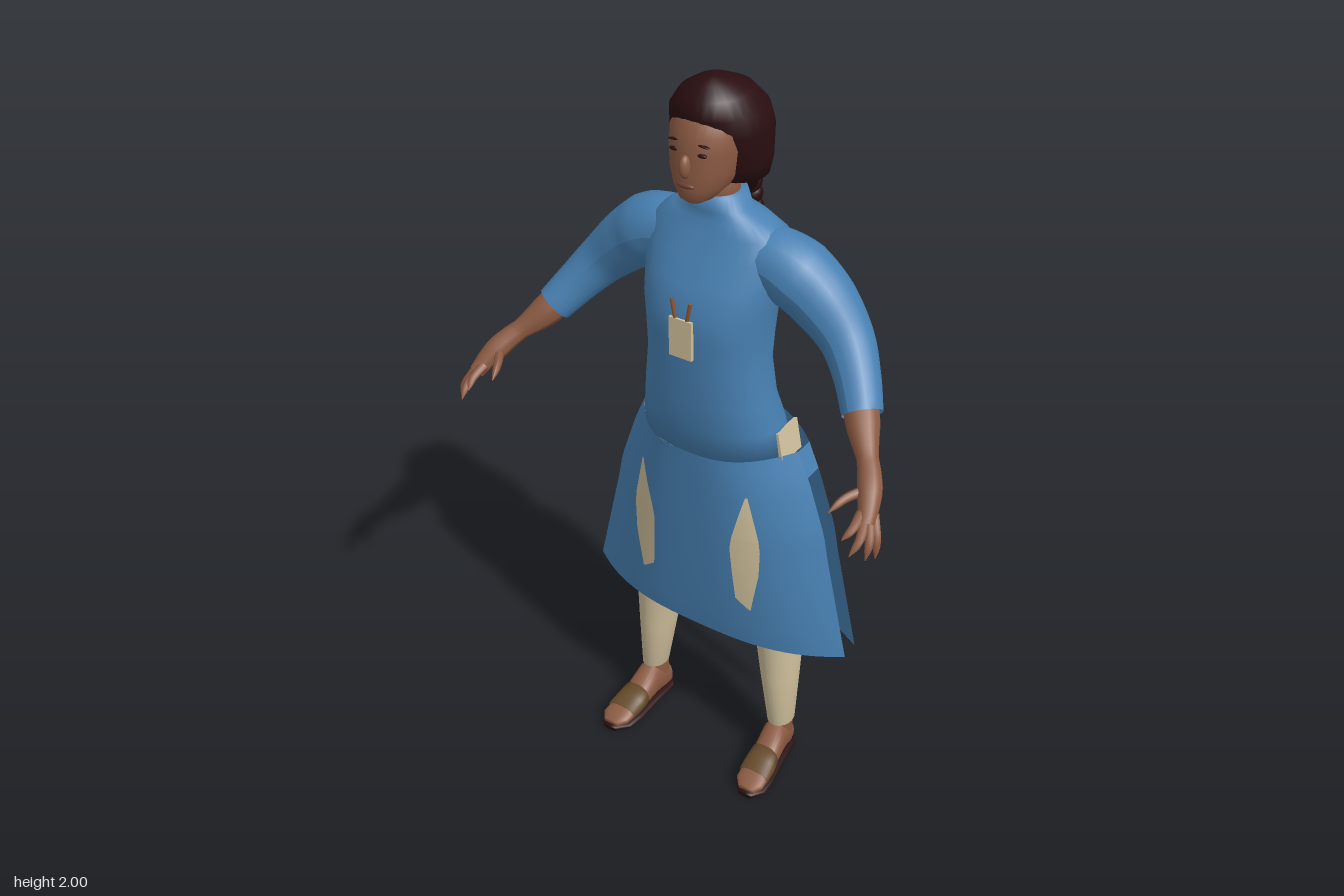
import * as THREE from 'three';

const mat = (name, color, side = THREE.FrontSide) => {
  const m = new THREE.MeshStandardMaterial({ color, side });
  m.name = name;
  return m;
};

// Closed body from horizontal rings [y, halfWidth, zFront, zBack, centreX]
function loft(rings, power = 2, seg = 28) {
  const pos = [], idx = [];
  const bend = (v) => Math.sign(v) * Math.pow(Math.abs(v), 2 / power);
  for (const [y, w, zf, zb, cx = 0] of rings) {
    for (let j = 0; j < seg; j++) {
      const a = (j / seg) * Math.PI * 2;
      pos.push(cx + w * bend(Math.cos(a)), y, (zf + zb) / 2 + ((zf - zb) / 2) * bend(Math.sin(a)));
    }
  }
  const n = rings.length, low = n * seg, high = low + 1;
  for (const [y, , zf, zb, cx = 0] of [rings[0], rings[n - 1]]) pos.push(cx, y, (zf + zb) / 2);
  for (let j = 0; j < seg; j++) {
    const k = (j + 1) % seg;
    for (let i = 0; i < n - 1; i++) {
      const a = i * seg + j, b = i * seg + k;
      idx.push(a, a + seg, b, b, a + seg, b + seg);
    }
    idx.push(low, j, k, high, (n - 1) * seg + k, (n - 1) * seg + j);
  }
  const g = new THREE.BufferGeometry();
  g.setAttribute('position', new THREE.Float32BufferAttribute(pos, 3));
  g.setIndex(idx);
  g.computeVertexNormals();
  return g;
}

// Tube whose radius follows a list of values
function limb(points, radii, steps = 18, seg = 14) {
  const curve = new THREE.CatmullRomCurve3(points.map((p) => new THREE.Vector3(...p)));
  const g = new THREE.TubeGeometry(curve, steps, 1, seg);
  const p = g.attributes.position, n = g.attributes.normal;
  for (let i = 0; i < p.count; i++) {
    const t = Math.floor(i / (seg + 1)) / steps;
    const f = t * (radii.length - 1), k = Math.min(Math.floor(f), radii.length - 2);
    const r = THREE.MathUtils.lerp(radii[k], radii[k + 1], f - k);
    const c = curve.getPointAt(t);
    p.setXYZ(i, c.x + n.getX(i) * r, c.y + n.getY(i) * r, c.z + n.getZ(i) * r);
  }
  g.computeVertexNormals();
  return g;
}

// Sheet of cloth: u runs -1..1, v runs 0..1 upward
function sheet(fn, nu = 28, nv = 20) {
  const g = new THREE.PlaneGeometry(2, 1, nu, nv), p = g.attributes.position;
  for (let i = 0; i < p.count; i++) p.setXYZ(i, ...fn(p.getX(i), p.getY(i) + 0.5));
  g.computeVertexNormals();
  return g;
}

// Skirt outline: half width by height, and depth of the front panel
const flare = [[0.445, 0.4], [0.75, 0.33], [0.82, 0.317], [0.96, 0.27], [1.05, 0.232]];
function skirtWidth(y) {
  let k = 0;
  while (k < flare.length - 2 && y > flare[k + 1][0]) k++;
  const [y0, w0] = flare[k], [y1, w1] = flare[k + 1];
  return w0 + ((w1 - w0) * (y - y0)) / (y1 - y0);
}
function skirtFront(x, y) {
  const zf = 0.015 + 0.048 * Math.pow((y - 0.445) / 0.605, 0.8 );
  return zf - (zf + 0.09) * Math.pow(Math.abs(x) / skirtWidth(y), 2.8);
}

export function createModel() {
  const root = new THREE.Group();
  const blue = mat('blue cloth', 0x4881b3, THREE.DoubleSide);
  const cream = mat('cream cloth', 0xd0c09c, THREE.DoubleSide);
  const skin = mat('skin', 0x8b5a42);
  const dark = mat('dark hair', 0x2a0e10);
  const leather = mat('leather', 0x664a2a);
  const lip = mat('lips', 0x6f4034);
  const wood = mat('wood', 0x8a5530);

  const add = (name, geo, m) => {
    const mesh = new THREE.Mesh(geo, m);
    mesh.name = name;
    root.add(mesh);
    return mesh;
  };
  const blob = (name, m, pos, size) => {
    const b = add(name, new THREE.SphereGeometry(1, 16, 12), m);
    b.position.set(...pos);
    b.scale.set(...size);
    return b;
  };

  // Head and neck
  add('head', loft([
    [1.727, 0.022, 0.045, 0.0], [1.738, 0.042, 0.058, -0.03], [1.765, 0.066, 0.063, -0.08],
    [1.80, 0.081, 0.064, -0.11], [1.85, 0.09, 0.06, -0.13], [1.89, 0.089, 0.055, -0.13],
    [1.93, 0.075, 0.035, -0.12], [1.96, 0.04, 0.0, -0.08],
  ]), skin);
  add('neck', loft([[1.64, 0.058, -0.025, -0.13], [1.72, 0.052, -0.02, -0.125], [1.79, 0.055, 0.0, -0.125]]), skin);
  blob('nose', skin, [0, 1.822, 0.062], [0.013, 0.028, 0.018]);
  blob('mouth', lip, [0, 1.776, 0.06], [0.023, 0.007, 0.008]);
  for (const s of [-1, 1]) {
    blob('eye', dark, [s * 0.036, 1.853, 0.05], [0.014, 0.005, 0.006]);
    blob('eyebrow', dark, [s * 0.037, 1.875, 0.047], [0.018, 0.003, 0.006]).rotation.z = -s * 0.12;
  }

  // Hair and braid
  add('hair', loft([
    [1.68, 0.034, -0.15, -0.205], [1.73, 0.062, -0.1, -0.2], [1.755, 0.1, -0.03, -0.197],
    [1.80, 0.117, 0.008, -0.197], [1.88, 0.121, 0.024, -0.2], [1.925, 0.11, 0.04, -0.192],
    [1.965, 0.08, 0.03, -0.155], [1.99, 0.042, 0.0, -0.1], [2.0, 0.01, -0.03, -0.055],
  ], 2.1), dark);
  const braid = new THREE.CatmullRomCurve3([[1.70, -0.19], [1.6, -0.207], [1.5, -0.215], [1.39, -0.205]]
    .map(([y, z]) => new THREE.Vector3(0, y, z)));
  for (let i = 0; i < 10; i++) {
    const c = braid.getPointAt(i / 9), r = 0.036 - i * 0.0014;
    for (const s of [-1, 1]) {
      const lock = blob('braidLock', dark, [s * r * 0.45, c.y - (s > 0 ? 0.016 : 0), c.z], [r * 0.65, r * 0.95, r * 0.75]);
      lock.rotation.z = -s * 0.6;
    }
  }
  add('braidTuft', loft([[1.31, 0.004, -0.19, -0.197], [1.35, 0.024, -0.18, -0.217], [1.385, 0.01, -0.19, -0.21]]), dark);

  // Tunic body with stand collar
  add('tunic', loft([
    [1.03, 0.206, 0.042, -0.2], [1.12, 0.19, 0.06, -0.185], [1.2, 0.174, 0.07, -0.16],
    [1.3, 0.16, 0.075, -0.155], [1.38, 0.163, 0.08, -0.165], [1.45, 0.168, 0.083, -0.175],
    [1.52, 0.18, 0.055, -0.184], [1.58, 0.188, 0.022, -0.185], [1.63, 0.178, 0, -0.178],
    [1.66, 0.125, -0.012, -0.162], [1.68, 0.078, -0.015, -0.145], [1.72, 0.064, -0.012, -0.14],
  ], 2.25, 36), blue);

  // Chest pocket holding two sticks
  add('pocket', new THREE.BoxGeometry(0.064, 0.105, 0.009), cream).position.set(0, 1.39, 0.084);
  for (const s of [-1, 1]) {
    const stick = add('stick', new THREE.CylinderGeometry(0.005, 0.005, 0.09, 8), wood);
    stick.position.set(s * 0.018, 1.447, 0.083);
    stick.rotation.z = -s * 0.18;
  }

  // Skirt panels, open at the sides below a short joining band
  const rise = (v) => 0.445 + 0.605 * v;
  add('skirtFront', sheet((u, v) => {
    const y = rise(v), x = u * skirtWidth(y);
    return [x, y, skirtFront(x, y)];
  }), blue);
  add('skirtBack', sheet((u, v) => {
    const y = rise(v);
    return [-u * skirtWidth(y), y, -0.255 + 0.112 * u * u];
  }), blue);

  for (const s of [-1, 1]) {
    add('skirtBand', sheet((u, v) => {
      const y = 0.98 + 0.07 * v;
      return [s * skirtWidth(y), y, -0.1165 - s * u * 0.0265];
    }, 2, 2), blue);

    // Cream insets on the skirt and hip
    const outline = [[0.158, 0.95], [0.193, 0.8], [0.192, 0.7], [0.17, 0.578], [0.13, 0.61], [0.117, 0.76], [0.12, 0.8]];
    const rows = [[0.578, 0.168, 0.172], [0.61, 0.13, 0.177], [0.7, 0.122, 0.192], [0.78, 0.117, 0.194], [0.82, 0.123, 0.19], [0.95, 0.155, 0.16]];
    add('skirtInset', sheet((u, v) => {
      const f = v * (rows.length - 1), k = Math.min(Math.floor(f), rows.length - 2);
      const [y, a, b] = rows[k].map((q, i) => THREE.MathUtils.lerp(q, rows[k + 1][i], f - k));
      const x = s * THREE.MathUtils.lerp(a, b, (s * u + 1) / 2);
      return [x, y, skirtFront(x, y) + 0.007];
    }, 4, (outline.length - 2) * 4), cream);
    const hip = add('hipInset', new THREE.BoxGeometry(0.009, 0.085, 0.09), cream);
    hip.position.set(s * 0.2, 1.07, -0.093);
    hip.rotation.z = s * 0.19;

    // Trouser leg
    add('trouserLeg', loft([
      [0.13, 0.036, -0.04, -0.13, 0.215], [0.3, 0.052, -0.027, -0.152, 0.204], [0.45, 0.066, -0.02, -0.165, 0.195],
      [0.6, 0.076, -0.01, -0.155, 0.172], [0.8, 0.092, 0, -0.17, 0.15], [0.95, 0.105, 0.01, -0.185, 0.12],
      [1.06, 0.09, 0.01, -0.17, 0.1],
    ].map(([y, w, f, b, cx]) => [y, w, f, b, s * cx])), cream);

    // Ankle, foot and sandal; foot sections are [z, halfWidth, top]
    add('ankle', loft([[0.04, 0.033, -0.05, -0.13, s * 0.212], [0.17, 0.031, -0.048, -0.122, s * 0.214]]), skin);
    const along = (rows, bottom) => loft(rows.map(([z, w, top]) =>
      [z, w, -bottom, -top, s * (0.215 + 0.09 * (z + 0.06))]), 2.3).rotateX(Math.PI / 2);
    add('foot', along([[-0.13, 0.018, 0.06], [-0.115, 0.032, 0.1], [-0.05, 0.036, 0.13], [0, 0.039, 0.088],
      [0.05, 0.043, 0.06], [0.1, 0.042, 0.045], [0.122, 0.025, 0.034]], 0.015), skin);
    add('sandalStrap', along([[0.005, 0.042, 0.088], [0.035, 0.046, 0.073], [0.075, 0.046, 0.058]], 0.015), leather);
    add('sandalSole', along([[-0.137, 0.018, 0.02], [-0.115, 0.036, 0.02], [-0.04, 0.04, 0.02], [0.04, 0.049, 0.02],
      [0.095, 0.047, 0.02], [0.128, 0.022, 0.02]], 0), dark);

    // Sleeve, forearm and hand
    const side = (pts) => pts.map(([x, y, z]) => [s * x, y, z]);
    add('sleeve', limb(side([[0.12, 1.575, -0.085], [0.18, 1.56, -0.09], [0.26, 1.505, -0.1],
      [0.345, 1.425, -0.088], [0.4, 1.36, -0.05], [0.447, 1.297, 0.0]]), [0.075, 0.088, 0.08, 0.066, 0.056, 0.049], 24, 20), blue);
    add('forearm', limb(side([[0.42, 1.33, -0.03], [0.47, 1.272, 0.032], [0.53, 1.212, 0.105], [0.555, 1.175, 0.15],
      [0.568, 1.145, 0.183]]), [0.044, 0.041, 0.026, 0.03, 0.02]), skin);
    const fingers = [
      [[0.572, 1.16, 0.155], [0.597, 1.115, 0.182], [0.602, 1.07, 0.193]],
      [[0.568, 1.155, 0.168], [0.59, 1.115, 0.205], [0.592, 1.08, 0.222]],
      [[0.56, 1.155, 0.175], [0.572, 1.125, 0.218], [0.565, 1.098, 0.25]],
      [[0.55, 1.165, 0.175], [0.552, 1.148, 0.218], [0.542, 1.132, 0.247]],
      [[0.535, 1.195, 0.125], [0.505, 1.185, 0.17], [0.487, 1.165, 0.215]],
    ];
    for (const f of fingers) add('finger', limb(side(f), [0.013, 0.012, 0.011, 0.009, 0.001], 10, 8), skin);
  }
  return root;
}
